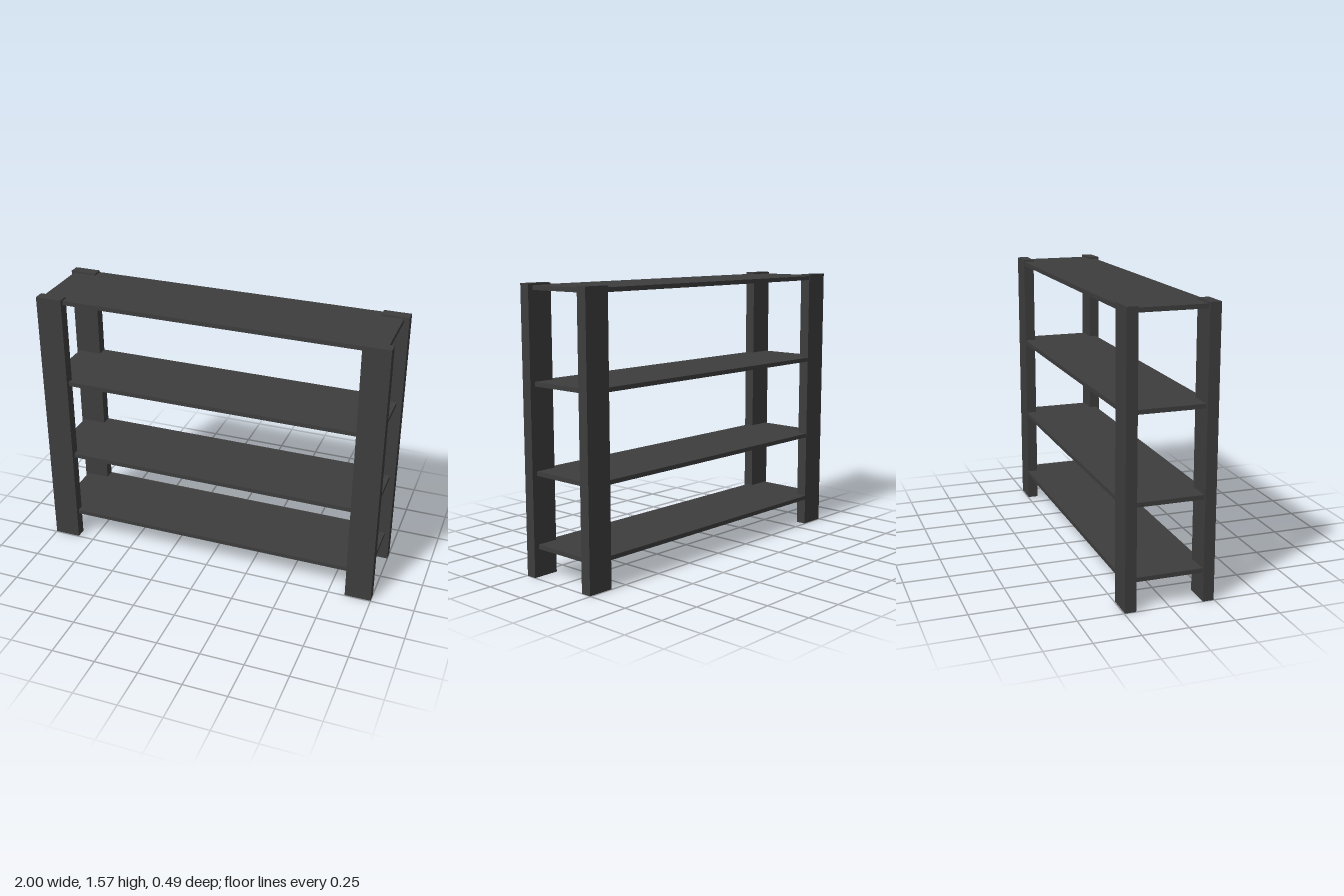
import * as THREE from 'three';

export function createModel() {
  const group = new THREE.Group();
  group.name = 'shelfUnit';
  const material = new THREE.MeshStandardMaterial({ color: 0x3d3d3d });

  // Box given by its lower and upper corners
  const board = (name, [x0, y0, z0], [x1, y1, z1]) => {
    const mesh = new THREE.Mesh(new THREE.BoxGeometry(x1 - x0, y1 - y0, z1 - z0), material);
    mesh.position.set((x0 + x1) / 2, (y0 + y1) / 2, (z0 + z1) / 2);
    mesh.name = name;
    group.add(mesh);
  };

  // Four flat corner posts
  const postWidth = 0.152, postDepth = 0.061, height = 1.57, halfDepth = 0.246;
  for (const [side, x] of [['Left', 1 - postWidth], ['Right', -1]]) {
    for (const [end, z] of [['front', halfDepth - postDepth], ['back', -halfDepth]]) {
      board(`${end}${side}Post`, [x, 0, z], [x + postWidth, height, z + postDepth]);
    }
  }

  // Four thin shelves, slightly off centre between the posts
  [0.156, 0.557, 1.035, 1.536].forEach((y, i) => {
    board(`shelf${i + 1}`, [-0.984, y, -0.245], [0.97, y + 0.024, 0.225]);
  });

  return group;
}
